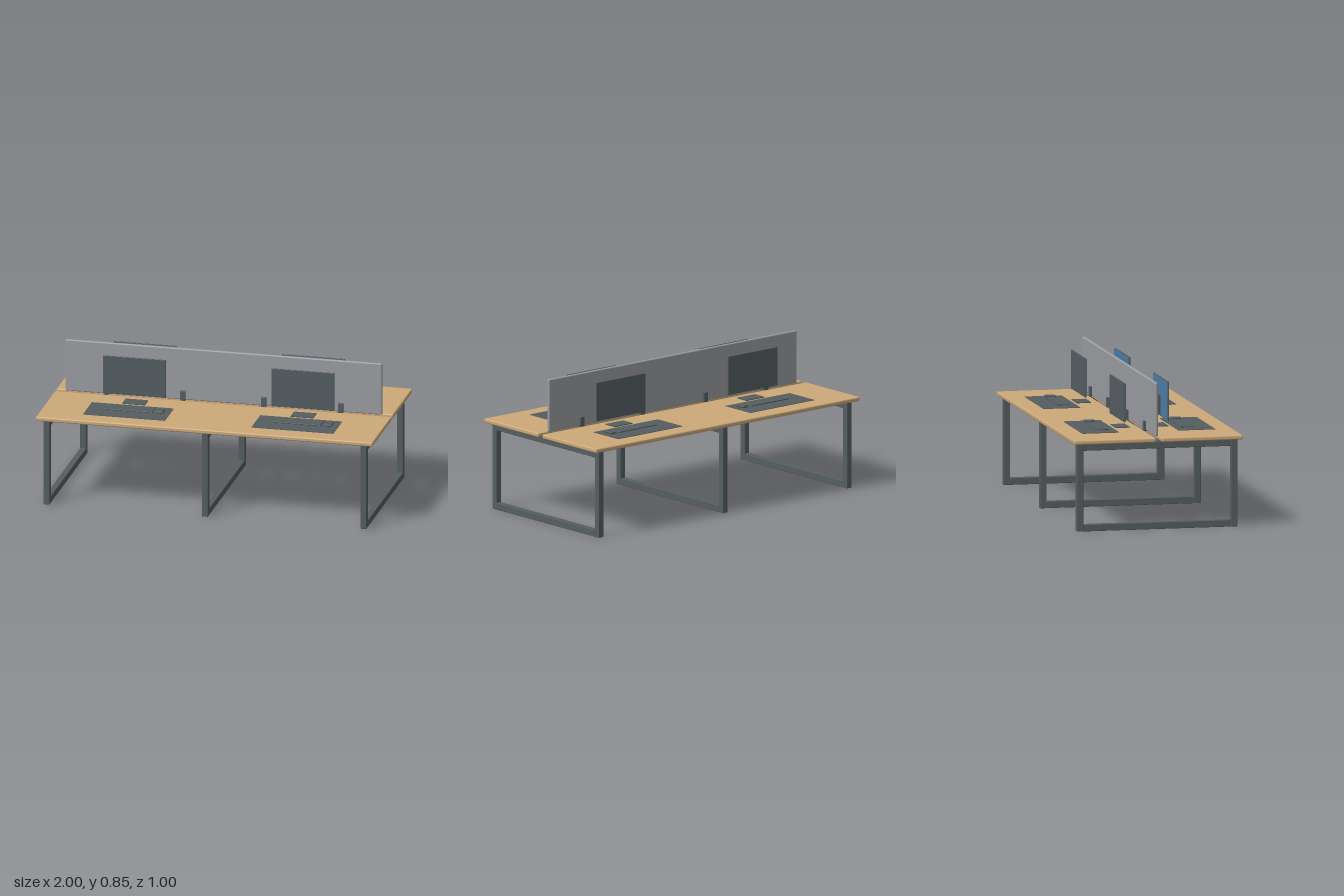
import * as THREE from 'three';
import { RoundedBoxGeometry } from 'three/addons/geometries/RoundedBoxGeometry.js';

const material = (name, color) => new THREE.MeshStandardMaterial({ name, color });

export function createModel() {
  const wood = material('light wood', 0xcdaa7a);
  const metal = material('dark grey', 0x565e62);
  const fabric = material('panel grey', 0x9b9da1);
  const blue = material('screen blue', 0x4d7ea6);

  const model = new THREE.Group();
  model.name = 'sharedDesk';

  // Box given by its [min, max] range on each axis, optionally with rounded edges
  function box(parent, name, mat, [x0, x1], [y0, y1], [z0, z1], radius = 0) {
    const size = [x1 - x0, y1 - y0, Math.abs(z1 - z0)];
    const geometry = radius
      ? new RoundedBoxGeometry(...size, 3, radius)
      : new THREE.BoxGeometry(...size);
    const mesh = new THREE.Mesh(geometry, mat);
    mesh.name = name;
    mesh.position.set((x0 + x1) / 2, (y0 + y1) / 2, (z0 + z1) / 2);
    parent.add(mesh);
    return mesh;
  }

  // Three closed leg frames
  for (const x of [-0.941, 0, 0.941]) {
    const frame = new THREE.Group();
    frame.name = 'legFrame';
    frame.position.x = x;
    const across = [-0.018, 0.018];
    for (const s of [-1, 1]) {
      box(frame, 'leg', metal, across, [0, 0.512], [s * 0.438, s * 0.476], 0.003);
    }
    box(frame, 'topRail', metal, across, [0.471, 0.512], [-0.439, 0.439], 0.003);
    box(frame, 'floorRail', metal, across, [0, 0.04], [-0.439, 0.439], 0.003);
    model.add(frame);
  }

  // Divider panel and its clamps
  box(model, 'divider', fabric, [-0.94, 0.94], [0.54, 0.852], [-0.0095, 0.0095], 0.007);
  for (const x of [-0.697, -0.24, 0.24, 0.697]) {
    box(model, 'dividerClamp', metal, [x - 0.015, x + 0.015], [0.538, 0.596], [-0.024, 0.024], 0.003);
  }

  // One work place, mirrored front to back by s
  function workPlace(x, s) {
    const place = new THREE.Group();
    place.name = 'workPlace';
    place.position.x = x;
    const z = (a, b) => [s * a, s * b];

    // Monitor, with its screen on the divider side
    box(place, 'monitorShell', metal, [-0.186, 0.186], [0.588, 0.816], z(0.126, 0.134), 0.002);
    box(place, 'screen', blue, [-0.181, 0.181], [0.593, 0.811], z(0.122, 0.127));
    box(place, 'monitorNeck', metal, [-0.013, 0.013], [0.602, 0.716], z(0.108, 0.124));
    box(place, 'monitorFoot', metal, [-0.067, 0.067], [0.537, 0.543], z(0.072, 0.156));

    // Mat, keyboard and mouse
    box(place, 'deskMat', metal, [-0.243, 0.243], [0.537, 0.541], z(0.176, 0.394));
    box(place, 'keyboard', metal, [-0.142, 0.142], [0.54, 0.548], z(0.214, 0.289), 0.003);
    box(place, 'mouse', metal, [0.164, 0.206], [0.54, 0.554], z(0.225, 0.289), 0.006);
    model.add(place);
  }

  for (const s of [-1, 1]) {
    box(model, 'deskTop', wood, [-1, 1], [0.512, 0.538], [s * 0.018, s * 0.5], 0.008);
    for (const x of [-0.5, 0.5]) workPlace(x, s);
  }

  return model;
}
